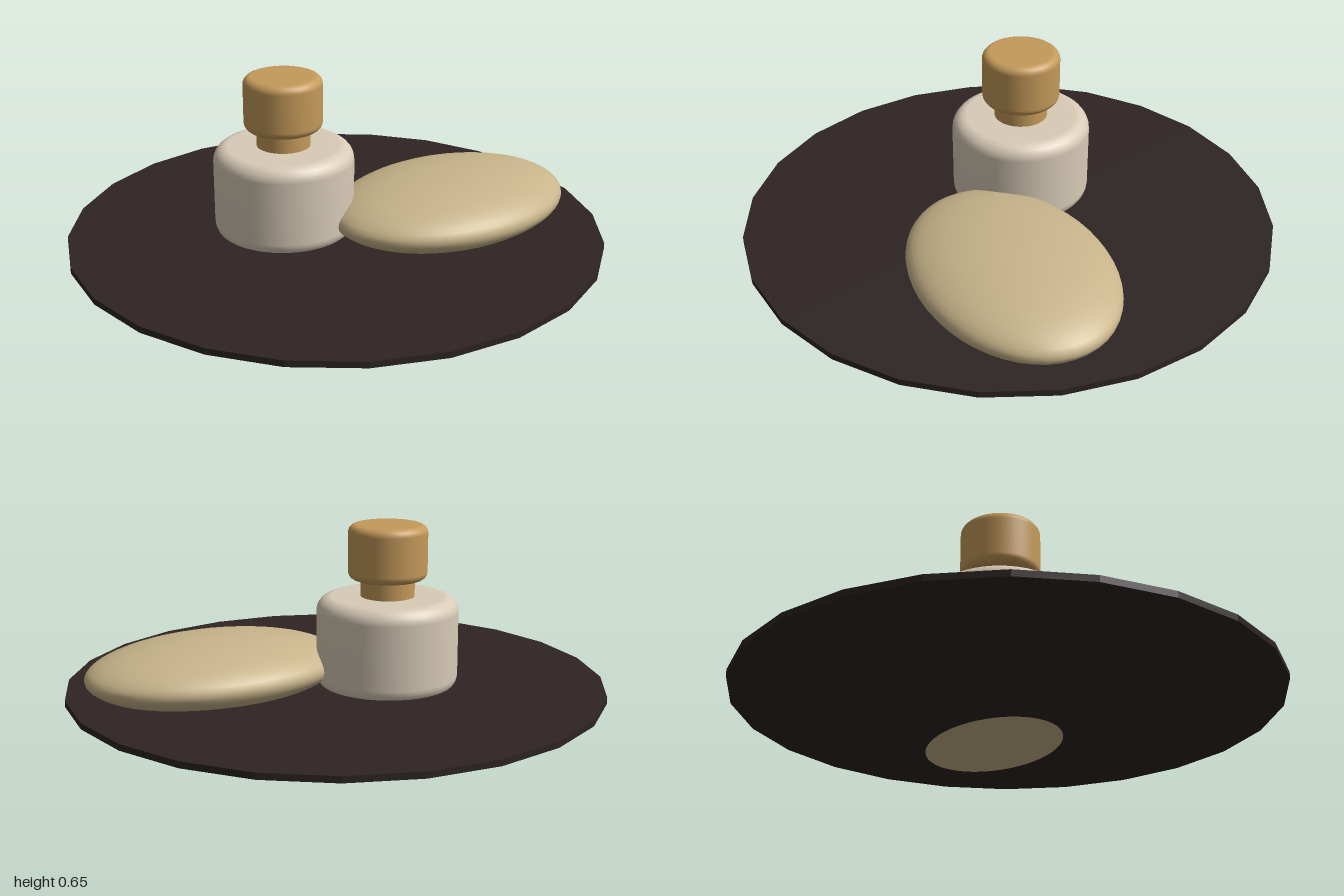
import * as THREE from 'three';

// Upright cylinder with rounded top and bottom rims
function roundedCylinder(radius, y0, y1, corner, sides = 48) {
  const pts = [new THREE.Vector2(0, y0)];
  for (const [cy, start] of [[y0 + corner, -Math.PI / 2], [y1 - corner, 0]]) {
    for (let i = 0; i <= 6; i++) {
      const a = start + (i / 6) * Math.PI / 2;
      pts.push(new THREE.Vector2(radius - corner + corner * Math.cos(a), cy + corner * Math.sin(a)));
    }
  }
  pts.push(new THREE.Vector2(0, y1));
  return new THREE.LatheGeometry(pts, sides);
}

export function createModel() {
  const group = new THREE.Group();
  const trayDark = new THREE.MeshStandardMaterial({ color: 0x2e2424 });
  const ceramic = new THREE.MeshStandardMaterial({ color: 0xd8cbb7 });
  const wood = new THREE.MeshStandardMaterial({ color: 0xc49a5a });
  const stoneTan = new THREE.MeshStandardMaterial({ color: 0xc8b48a });

  const add = (parent, name, geometry, material, x = 0, y = 0, z = 0) => {
    const mesh = new THREE.Mesh(geometry, material);
    mesh.name = name;
    mesh.position.set(x, y, z);
    parent.add(mesh);
    return mesh;
  };

  // Thin 24-sided tray
  const trayGeometry = new THREE.CylinderGeometry(1, 1, 0.023, 24).toNonIndexed();
  trayGeometry.computeVertexNormals();
  add(group, 'tray', trayGeometry, trayDark, 0, 0.0465, 0);

  // Bottle: rounded body, neck and stopper
  const bottle = new THREE.Group();
  bottle.name = 'bottle';
  bottle.position.set(-0.15, 0, -0.12);
  group.add(bottle);
  add(bottle, 'bottleBody', roundedCylinder(0.262, 0.037, 0.384, 0.055), ceramic);
  add(bottle, 'neck', new THREE.CylinderGeometry(0.1, 0.1, 0.1, 40), wood, 0, 0.415, 0);
  add(bottle, 'stopper', roundedCylinder(0.146, 0.447, 0.65, 0.03), wood);

  // Flattened oval pebble, sunk through the tray
  const pebble = new THREE.SphereGeometry(1, 48, 24).scale(0.497, 0.118, 0.35);
  add(group, 'pebble', pebble, stoneTan, 0.41, 0.12, 0.175);

  return group;
}
